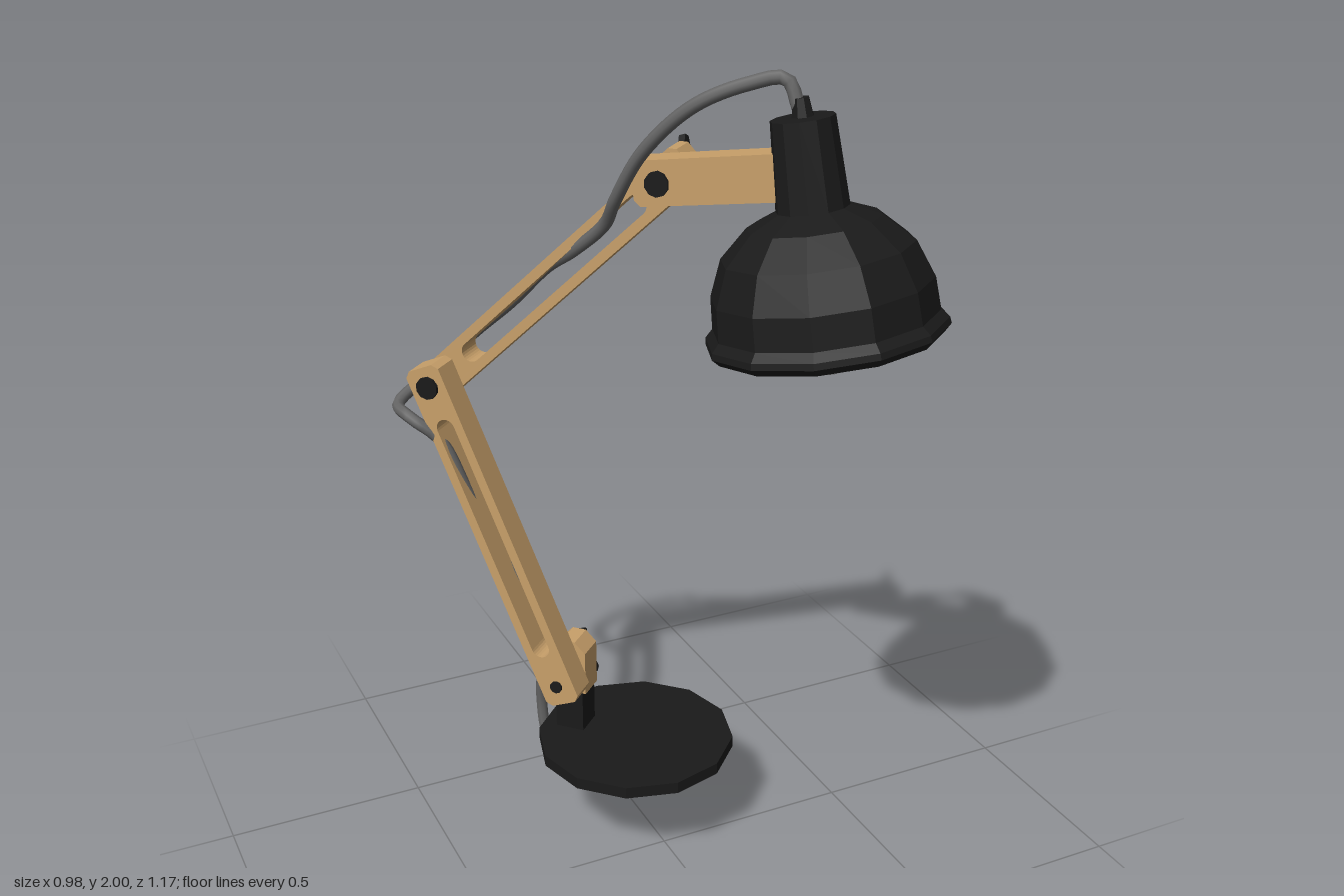
import * as THREE from 'three';

const mat = (color, extra = {}) => new THREE.MeshStandardMaterial({ color, flatShading: true, ...extra });
const wood = mat(0xc8a06a);
const black = mat(0x1a1a1a);
const shadeBlack = mat(0x1a1a1a, { side: THREE.DoubleSide });
const glass = mat(0xcccccc);
const cordGrey = new THREE.MeshStandardMaterial({ color: 0x666666 });

const THICK = 0.072;     // plank thickness
const NEAR = 0.005;      // z of lower arm and head arm
const FAR = -0.07;       // z of base block and upper arm

function add(parent, name, geometry, material, x = 0, y = 0, z = 0) {
  const mesh = new THREE.Mesh(geometry, material);
  mesh.name = name;
  mesh.position.set(x, y, z);
  parent.add(mesh);
  return mesh;
}

// Plank along x with chamfered ends and an optional rounded slot
function plankGeometry(x0, x1, half, c0, c1, slot) {
  const shape = new THREE.Shape([
    [x0 + c0, -half], [x1 - c1, -half], [x1, -half + c1], [x1, half - c1],
    [x1 - c1, half], [x0 + c0, half], [x0, half - c0], [x0, -half + c0],
  ].map(([x, y]) => new THREE.Vector2(x, y)));
  if (slot) {
    const r = 0.024, hole = new THREE.Path();
    hole.absarc(slot[1] - r, 0, r, -Math.PI / 2, Math.PI / 2, false);
    hole.absarc(slot[0] + r, 0, r, Math.PI / 2, Math.PI * 1.5, false);
    hole.closePath();
    shape.holes.push(hole);
  }
  const g = new THREE.ExtrudeGeometry(shape, { depth: THICK, bevelEnabled: false, curveSegments: 6 });
  return g.translate(0, 0, -THICK / 2);
}

// Slotted arm between two pivots
function arm(parent, name, a, b, z) {
  const L = Math.hypot(b[0] - a[0], b[1] - a[1]);
  const m = add(parent, name, plankGeometry(-0.05, L + 0.05, 0.047, 0.014, 0.014, [0.085, L - 0.085]), wood, a[0], a[1], z);
  m.rotation.z = Math.atan2(b[1] - a[1], b[0] - a[0]);
}

// Round bolt running along z
function bolt(parent, name, [x, y], r, z0, z1) {
  const g = new THREE.CylinderGeometry(r, r, z1 - z0, 10).rotateX(Math.PI / 2);
  add(parent, name, g, black, x, y, (z0 + z1) / 2);
}

// Butterfly nut pointing along -z
function wingNut(parent, name, [x, y], z, roll) {
  const nut = new THREE.Group();
  nut.name = name;
  nut.position.set(x, y, z);
  nut.rotation.z = roll;
  parent.add(nut);
  add(nut, 'nutHub', new THREE.CylinderGeometry(0.018, 0.024, 0.04, 8).rotateX(-Math.PI / 2), black, 0, 0, -0.02);
  const shape = new THREE.Shape([[0.008, 0.01], [0.034, 0.016], [0.064, 0.05], [0.056, 0.064], [0.034, 0.06], [0.008, 0.036]]
    .map(([u, v]) => new THREE.Vector2(u, v)));
  for (const side of [1, -1]) {
    const g = new THREE.ExtrudeGeometry(shape, { depth: 0.016, bevelEnabled: false });
    g.translate(0, 0, -0.008).rotateX(-Math.PI / 2).rotateZ(side * Math.PI / 2);
    add(nut, 'nutWing', g, black);
  }
}

export function createModel() {
  const model = new THREE.Group();
  model.name = 'deskLamp';

  // Frame whose x axis runs along the folding plane of the arms
  const yaw = 0.815;
  const lamp = new THREE.Group();
  lamp.name = 'lampBody';
  lamp.rotation.y = -yaw;
  model.add(lamp);

  const A = [-0.274, 0.43], B = [-0.588, 1.19], C = [0, 1.74];

  // Base
  add(lamp, 'baseDisc', new THREE.CylinderGeometry(0.25, 0.25, 0.03, 12), black, -0.108, 0.25, -0.074).rotation.y = yaw;
  add(lamp, 'basePost', new THREE.BoxGeometry(0.075, 0.12, 0.075), black, A[0], 0.32, FAR);
  add(lamp, 'baseBlock', plankGeometry(-0.055, 0.09, 0.046, 0, 0.028), wood, A[0], A[1], FAR).rotation.z = Math.PI / 2;

  // Arms
  arm(lamp, 'lowerArm', A, B, NEAR);
  arm(lamp, 'upperArm', B, C, FAR);

  // Joints
  bolt(lamp, 'baseBolt', A, 0.016, -0.12, 0.047);
  bolt(lamp, 'elbowBolt', B, 0.028, -0.122, 0.05);
  bolt(lamp, 'headBolt', C, 0.028, -0.112, 0.052);
  wingNut(lamp, 'baseWingNut', A, -0.106, 0.3);
  wingNut(lamp, 'headWingNut', C, -0.106, 0.3);

  // Head, slightly turned and tilted about the top joint
  const head = new THREE.Group();
  head.name = 'head';
  head.position.set(C[0], C[1], NEAR);
  head.rotation.set(0, -0.13, 0.16, 'YXZ');
  lamp.add(head);
  add(head, 'headArm', plankGeometry(-0.06, 0.31, 0.05, 0.014, 0), wood);

  const X = 0.343, Y = -0.349;   // centre of the shade rim
  const profile = [
    [0.247, -0.008], [0.262, 0.008], [0.26, 0.022], [0.243, 0.04], [0.238, 0.11],
    [0.206, 0.19], [0.143, 0.25], [0.078, 0.278], [0.068, 0.464], [0, 0.466],
  ].map(([r, h]) => new THREE.Vector2(r, h));
  add(head, 'shade', new THREE.LatheGeometry(profile, 12, 0.32), shadeBlack, X, Y, 0);
  add(head, 'cordNozzle', new THREE.CylinderGeometry(0.018, 0.024, 0.04, 8), black, X, Y + 0.484, 0);
  add(head, 'bulbSocket', new THREE.CylinderGeometry(0.045, 0.045, 0.15, 12), black, X, Y + 0.21, 0);
  add(head, 'bulbNeck', new THREE.CylinderGeometry(0.04, 0.065, 0.09, 14), glass, X, Y + 0.1, 0);
  add(head, 'bulb', new THREE.SphereGeometry(0.085, 14, 10), glass, X, Y + 0.005, 0);

  // Cord: out of the cap, through both slots, trailing past the base
  const path = [
    [0.178, 1.92, 0.26], [0.16, 1.982, 0.235], [0.1, 1.97, 0.19], [0.01, 1.92, 0.12],
    [-0.06, 1.81, 0.02], [-0.09, 1.69, -0.06], [-0.09, 1.62, -0.12], [-0.13, 1.54, -0.21],
    [-0.16, 1.48, -0.3], [-0.21, 1.37, -0.41], [-0.27, 1.26, -0.53], [-0.38, 1.15, -0.575],
    [-0.47, 1.11, -0.53], [-0.47, 1.105, -0.44], [-0.41, 1.05, -0.4], [-0.36, 0.92, -0.37],
    [-0.31, 0.79, -0.36], [-0.24, 0.65, -0.32], [-0.2, 0.53, -0.335], [-0.17, 0.4, -0.385],
    [-0.165, 0.25, -0.42], [-0.15, 0.12, -0.415], [-0.09, 0.035, -0.41], [-0.01, 0.018, -0.38],
  ].map((p) => new THREE.Vector3(...p));
  const cord = new THREE.CatmullRomCurve3(path);
  add(model, 'cord', new THREE.TubeGeometry(cord, 140, 0.015, 8), cordGrey);
  const end = path[path.length - 1];
  add(model, 'cordEnd', new THREE.SphereGeometry(0.015, 8, 6), cordGrey, end.x, end.y, end.z);

  return model;
}
